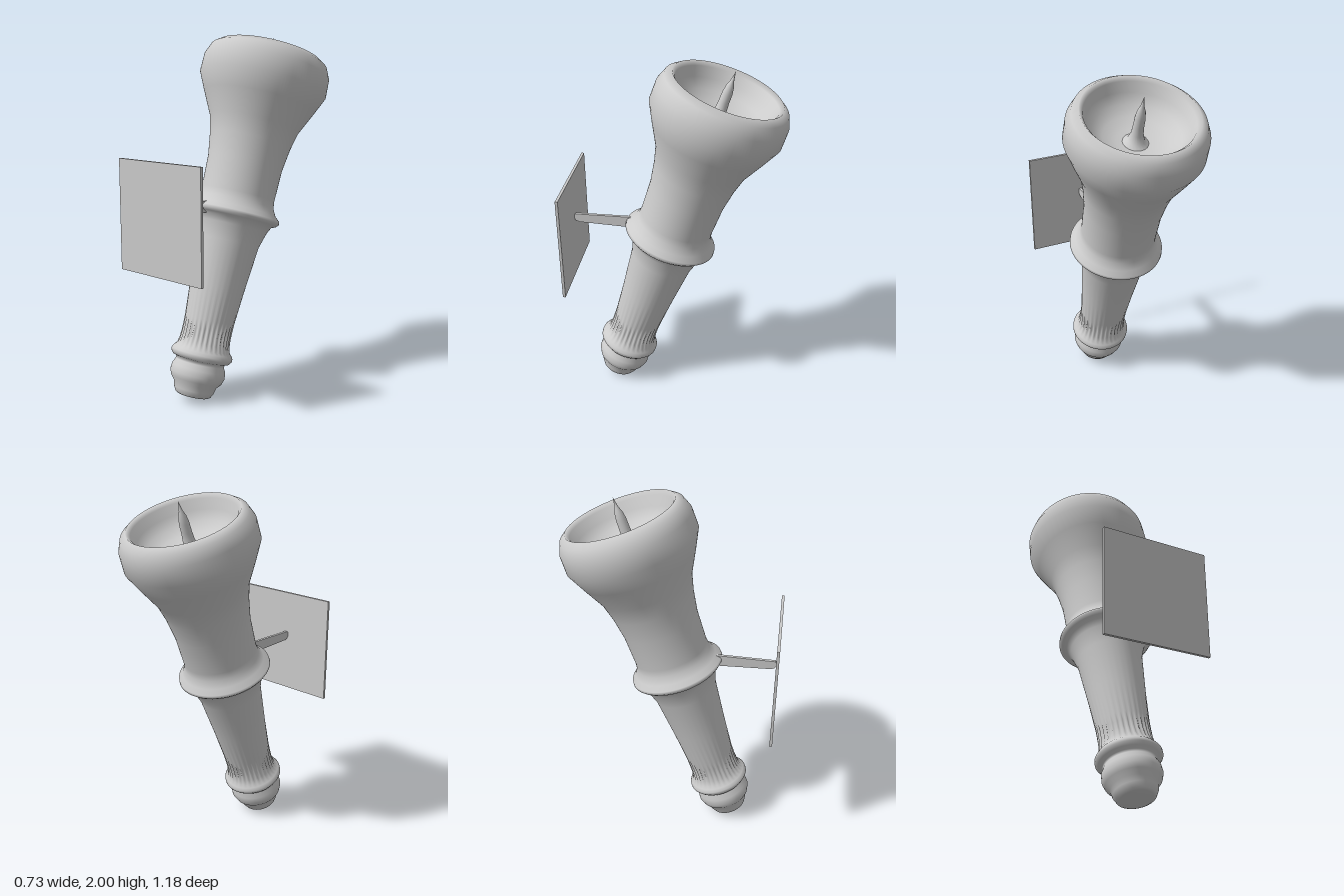
import * as THREE from 'three';
import { mergeVertices } from 'three/addons/utils/BufferGeometryUtils.js';

const grey = new THREE.MeshStandardMaterial({ color: 0xcccccc, side: THREE.DoubleSide });

function part(name, geometry) {
  const mesh = new THREE.Mesh(geometry, grey);
  mesh.name = name;
  return mesh;
}

// Turned shape from [radius, height] pairs, bottom to top
function turned(profile, segments) {
  return new THREE.LatheGeometry(profile.map(([r, y]) => new THREE.Vector2(r, y)), segments);
}

// Weld the seam and smooth the normals
function smooth(geometry) {
  geometry.deleteAttribute('uv');
  geometry.deleteAttribute('normal');
  const welded = mergeVertices(geometry, 1e-4);
  welded.computeVertexNormals();
  return welded;
}

// Press narrow flutes into the handle just above its lower ring
function addFlutes(geometry, from, to, count, depth) {
  const p = geometry.attributes.position;
  for (let i = 0; i < p.count; i++) {
    const x = p.getX(i), y = p.getY(i), z = p.getZ(i);
    if (y < from || y > to) continue;
    const fade = Math.sin(Math.PI * (y - from) / (to - from));
    const wave = 0.5 - 0.5 * Math.cos(count * Math.atan2(x, z));
    const k = 1 - depth * fade * wave / Math.hypot(x, z);
    p.setXYZ(i, x * k, y, z * k);
  }
  return geometry;
}

export function createModel() {
  const model = new THREE.Group();

  // Torch, leaning back
  const torch = new THREE.Group();
  torch.name = 'torch';
  torch.position.set(-0.012, 0.032, 0.355);
  torch.rotation.set(THREE.MathUtils.degToRad(-18.7), 0, -0.006);
  model.add(torch);

  // Knob, lower ring, handle, collar, flared head and hollow bowl in one profile
  const body = turned([
    [0, 0], [0.085, 0], [0.1, 0.008], [0.114, 0.035], [0.121, 0.065],
    [0.143, 0.09], [0.154, 0.12], [0.151, 0.155], [0.137, 0.185], [0.138, 0.2],
    [0.16, 0.208], [0.173, 0.225], [0.173, 0.24], [0.163, 0.256], [0.15, 0.27],
    [0.143, 0.3], [0.14, 0.34], [0.14, 0.38], [0.141, 0.43],
    [0.155, 0.62], [0.18, 0.88], [0.207, 0.97], [0.225, 1.005],
    [0.25, 1.015], [0.264, 1.03], [0.262, 1.045], [0.235, 1.07], [0.214, 1.11], [0.209, 1.15],
    [0.214, 1.33], [0.233, 1.46], [0.257, 1.56], [0.32, 1.69],
    [0.366, 1.79], [0.363, 1.89], [0.338, 1.95], [0.302, 1.977],
    [0.282, 1.955], [0.262, 1.9], [0.228, 1.85], [0.17, 1.815], [0.1, 1.795], [0, 1.79],
  ], 128);
  torch.add(part('torchBody', smooth(addFlutes(body, 0.265, 0.44, 32, 0.012))));

  // Pointed spike rising from the bowl
  torch.add(part('spike', smooth(turned([
    [0.075, 1.788], [0.045, 1.81], [0.032, 1.85], [0.028, 1.9], [0.027, 1.95],
    [0.021, 1.99], [0.011, 2.015], [0.005, 2.045], [0, 2.076],
  ], 20))));

  // Square wall plate
  const plate = part('mountingPlate', new THREE.BoxGeometry(0.61, 0.605, 0.015));
  plate.position.set(-0.005, 1.05, 0.5825);
  model.add(plate);

  // Flat arm with a clipped tip, joining plate and collar (drawn as z, y)
  const side = new THREE.Shape([
    [0.2, 1.05], [0.548, 1.062], [0.565, 1.068], [0.577, 1.08],
    [0.577, 1.103], [0.57, 1.112], [0.2, 1.117],
  ].map(([z, y]) => new THREE.Vector2(z, y)));
  const armGeometry = new THREE.ExtrudeGeometry(side, { depth: 0.017, bevelEnabled: false });
  armGeometry.rotateY(-Math.PI / 2);
  const arm = part('bracketArm', armGeometry);
  arm.rotation.y = -0.02;
  arm.position.x = 0.004;
  model.add(arm);

  return model;
}
